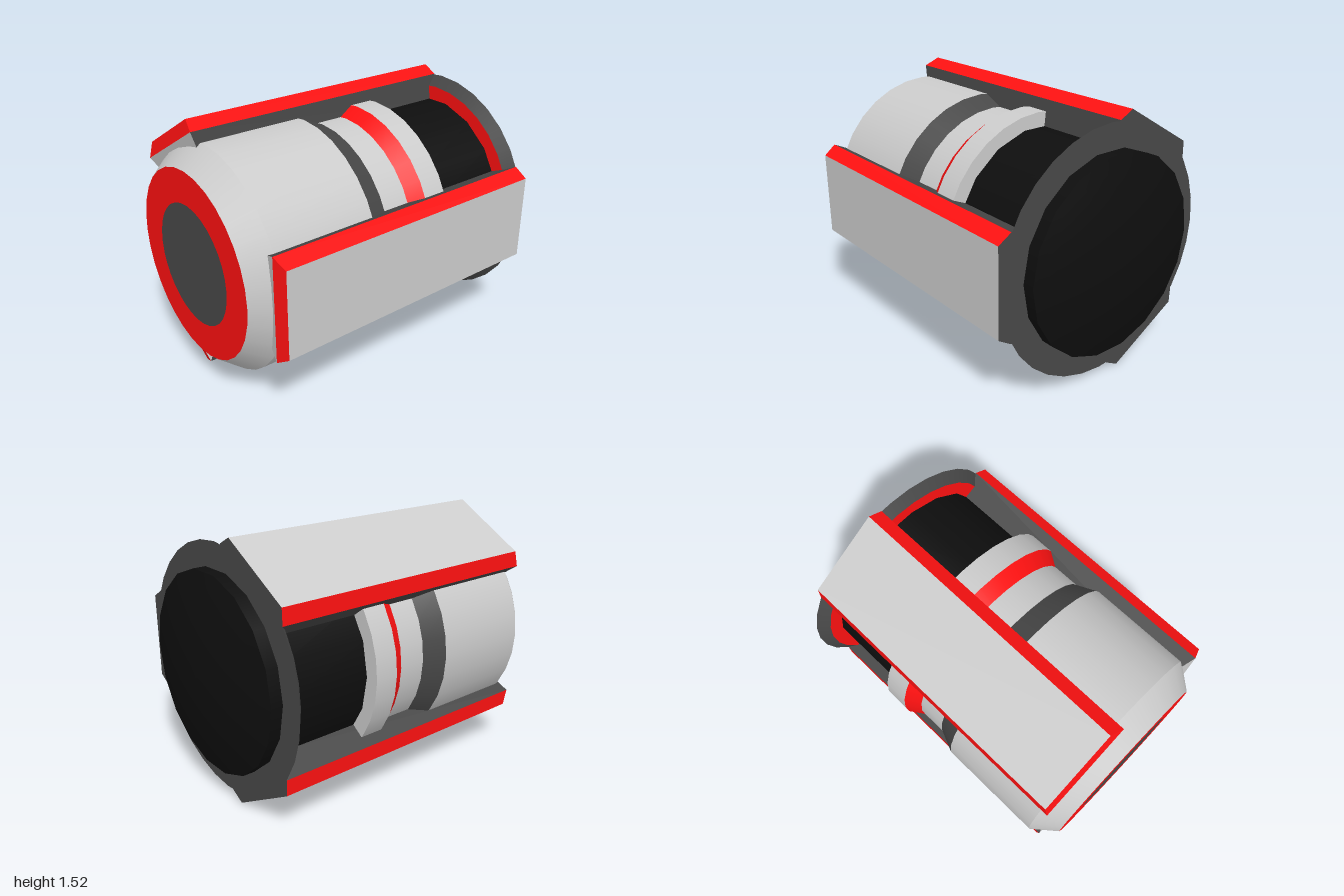
import * as THREE from 'three';

const GREY = 0xcccccc, DARK = 0x484848, BLACK = 0x0e0e0e, RED = 0xff1111;
const paint = (color) => new THREE.MeshStandardMaterial({ color });

// Turned band around the z axis; profile of [radius, z] listed from back to front
function band(name, color, profile, sides = 32) {
  const pts = profile.map(([r, z]) => new THREE.Vector2(r, z));
  const geo = new THREE.LatheGeometry(pts, sides, Math.PI / 2);
  geo.rotateX(Math.PI / 2);
  const mesh = new THREE.Mesh(geo, paint(color));
  mesh.name = name;
  return mesh;
}

// Flat four-cornered panel, corners counter-clockwise
function panel(name, color, [a, b, c, d]) {
  const geo = new THREE.BufferGeometry();
  geo.setAttribute('position', new THREE.Float32BufferAttribute([...a, ...b, ...c, ...d], 3));
  geo.setIndex([0, 1, 2, 0, 2, 3]);
  geo.computeVertexNormals();
  const mesh = new THREE.Mesh(geo, paint(color));
  mesh.name = name;
  return mesh;
}

// Tapered block between two levels: r = distance from axis, h = half width, f / b = front / back z
function taperedBlock(name, i, o, colors) {
  const g = new THREE.Group();
  g.name = name;
  const p = (l, side, end) => [l.r, side * l.h, l[end]];
  g.add(panel('frontEnd', colors.front, [p(i, -1, 'f'), p(o, -1, 'f'), p(o, 1, 'f'), p(i, 1, 'f')]));
  g.add(panel('backEnd', DARK, [p(i, 1, 'b'), p(o, 1, 'b'), p(o, -1, 'b'), p(i, -1, 'b')]));
  g.add(panel('upperSide', colors.side, [p(i, 1, 'f'), p(o, 1, 'f'), p(o, 1, 'b'), p(i, 1, 'b')]));
  g.add(panel('lowerSide', colors.side, [p(i, -1, 'b'), p(o, -1, 'b'), p(o, -1, 'f'), p(i, -1, 'f')]));
  if (colors.outer) {
    g.add(panel('outerFace', colors.outer, [p(o, -1, 'f'), p(o, -1, 'b'), p(o, 1, 'b'), p(o, 1, 'f')]));
  }
  return g;
}

export function createModel() {
  const model = new THREE.Group();
  model.name = 'canister';
  const body = new THREE.Group();
  body.name = 'body';
  body.position.set(-0.007, 0.763, 0);
  model.add(body);

  // Front cap and main barrel
  body.add(
    band('frontDisc', DARK, [[0.35, 1], [0, 1]]),
    band('frontRing', RED, [[0.545, 1], [0.35, 1]]),
    band('frontBevel', GREY, [[0.655, 0.865], [0.545, 1]]),
    band('barrel', GREY, [[0.655, 0.24], [0.655, 0.865]]),
    // Waist groove and collar
    band('grooveSlope', DARK, [[0.6, 0.11], [0.655, 0.24]]),
    band('groove', GREY, [[0.6, -0.06], [0.6, 0.11]]),
    band('redSlope', RED, [[0.655, -0.145], [0.6, -0.06]]),
    band('collar', GREY, [[0.655, -0.29], [0.655, -0.145]]),
    band('collarBack', GREY, [[0.5, -0.29], [0.655, -0.29]]),
    // Black core and rear flange
    band('core', BLACK, [[0.575, -0.82], [0.575, -0.285]], 18),
    band('flangeFront', RED, [[0.655, -0.79], [0.5, -0.79]]),
    band('flangeRim', DARK, [[0.718, -0.84], [0.655, -0.79]]),
    band('flangeBack', DARK, [[0.5, -0.84], [0.718, -0.84]]),
    band('domeWall', BLACK, [[0.575, -0.91], [0.575, -0.83]], 18),
  );

  // Shallow rear dome
  const dome = [];
  for (let k = 0; k <= 8; k++) {
    const r = 0.575 * k / 8;
    dome.push([r, -1 + 0.09 * (r / 0.575) ** 2]);
  }
  body.add(band('rearDome', BLACK, dome, 18));

  // Three lengthwise rails, evenly spaced around the body
  const foot = { r: 0.5, h: 0.238, f: 0.865, b: -0.84 };
  const base = { r: 0.652, h: 0.305, f: 0.912, b: -0.84 };
  const top = { r: 0.732, h: 0.255, f: 0.89, b: -0.84 };
  for (let k = 0; k < 3; k++) {
    const rail = new THREE.Group();
    rail.name = 'rail';
    rail.add(taperedBlock('railFoot', foot, base, { front: GREY, side: DARK }));
    rail.add(taperedBlock('railPlate', base, top, { front: RED, side: RED, outer: GREY }));
    rail.rotation.z = k * Math.PI * 2 / 3;
    body.add(rail);
  }
  return model;
}
